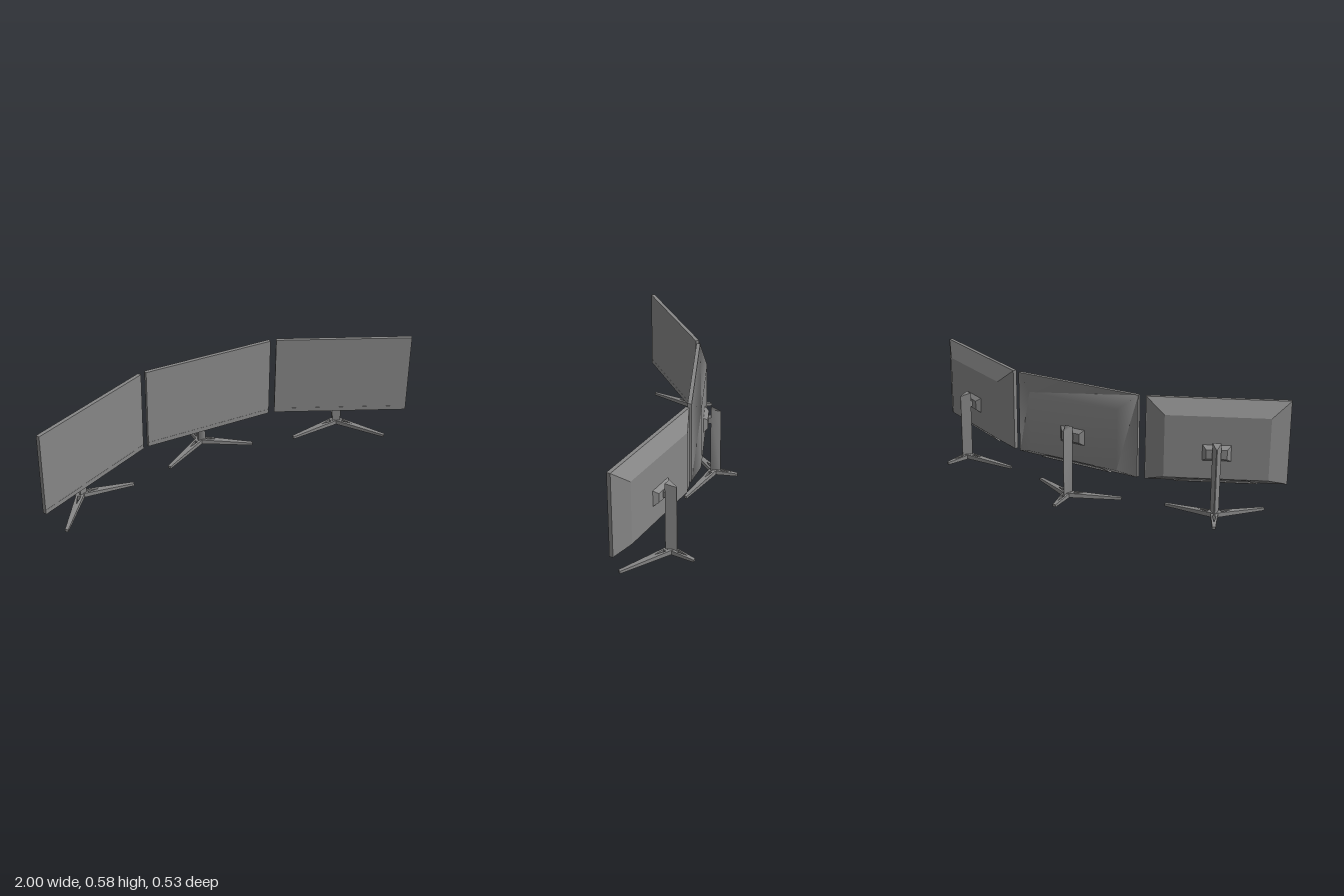
import * as THREE from 'three';
import { ConvexGeometry } from 'three/addons/geometries/ConvexGeometry.js';
import { mergeVertices } from 'three/addons/utils/BufferGeometryUtils.js';

const material = new THREE.MeshStandardMaterial({ color: 0x868686 });

function part(name, geometry, parent) {
  const mesh = new THREE.Mesh(geometry, material);
  mesh.name = name;
  parent.add(mesh);
  return mesh;
}

// Shares corners so that shading runs softly across the edges
function soften(geometry) {
  geometry.deleteAttribute('normal');
  geometry.deleteAttribute('uv');
  const g = mergeVertices(geometry);
  g.computeVertexNormals();
  return g;
}

// Block whose front and back rectangles differ: [halfWidth, yLow, yHigh, z]
function frustum(front, back) {
  const g = new THREE.BoxGeometry(2, 1, 1);
  const p = g.attributes.position;
  for (let i = 0; i < p.count; i++) {
    const [w, low, high, z] = p.getZ(i) > 0 ? front : back;
    p.setXYZ(i, p.getX(i) * w, p.getY(i) > 0 ? high : low, z);
  }
  g.computeVertexNormals();
  return g;
}

// Closed outline given as [x, y] pairs
const points2 = (pairs) => pairs.map(([x, y]) => new THREE.Vector2(x, y));

// Tapered leg along +z with a slot near the hub, sloping down to the tip
function legGeometry(length, slotEnd) {
  const shape = new THREE.Shape(points2(
    [[-0.02, -0.01], [0.02, -0.01], [0.008, length], [-0.008, length]]));
  shape.holes.push(new THREE.Path(points2([[-0.009, 0.034], [0, slotEnd], [0.009, 0.034]])));
  const g = new THREE.ExtrudeGeometry(shape, { depth: 1, bevelEnabled: false });
  g.rotateX(Math.PI / 2); // plan now lies flat, thickness runs from y = -1 to 0
  const p = g.attributes.position;
  for (let i = 0; i < p.count; i++) {
    const t = Math.max(0, p.getZ(i) / length);
    const top = THREE.MathUtils.lerp(0.038, 0.013, t);
    const bottom = THREE.MathUtils.lerp(0.014, 0, t);
    p.setY(i, p.getY(i) > -0.5 ? top : bottom);
  }
  g.computeVertexNormals();
  return g;
}

// Raised trapezoid rim around a recess, sheared to follow the lower slope
function ridgeGeometry() {
  const shape = new THREE.Shape(points2(
    [[-0.202, 0.155], [0.202, 0.155], [0.158, 0.185], [-0.158, 0.185]]));
  shape.holes.push(new THREE.Path(points2(
    [[-0.18, 0.16], [-0.153, 0.179], [0.153, 0.179], [0.18, 0.16]])));
  const g = new THREE.ExtrudeGeometry(shape, { depth: 0.014, bevelEnabled: false });
  const p = g.attributes.position;
  for (let i = 0; i < p.count; i++) {
    p.setZ(i, p.getZ(i) - 0.032 - (p.getY(i) - 0.155) * 0.95);
  }
  g.computeVertexNormals();
  return g;
}

// Three-sided column with its edge to the back and a top sloping backwards
function columnGeometry() {
  const points = [];
  for (const [x, z, top] of [[-0.021, -0.094, 0.381], [0.021, -0.094, 0.381],
    [-0.002, -0.144, 0.366], [0.002, -0.144, 0.366]]) {
    points.push(new THREE.Vector3(x, 0.022, z), new THREE.Vector3(x, top, z));
  }
  return new ConvexGeometry(points);
}

// Local frame: screen surface at z = 0, back towards -z
function createMonitor(name, soft) {
  const monitor = new THREE.Group();
  monitor.name = name;
  const low = 0.155, high = 0.577, half = 0.342;
  const finish = soft ? soften : (g) => g;

  part('screenPanel', frustum([half, low, high, 0], [half, low, high, -0.019]), monitor);
  part('chin', frustum([half, low, 0.178, 0.0008], [half, low, 0.178, -0.004]), monitor);
  part('backShell', finish(frustum([half - 0.001, low + 0.001, high - 0.001, -0.018],
    [0.25, 0.185, 0.5, -0.06])), monitor);
  part('lowerRidge', ridgeGeometry(), monitor);

  // Mount and neck
  part('mountBlock', frustum([0.07, 0.277, 0.36, -0.058], [0.05, 0.294, 0.341, -0.081]), monitor);
  part('neck', frustum([0.015, 0.304, 0.334, -0.078], [0.015, 0.304, 0.334, -0.1]), monitor);

  // Stand
  const stand = new THREE.Group();
  stand.name = 'stand';
  monitor.add(stand);
  part('column', finish(columnGeometry()), stand);
  const spread = Math.atan2(0.24, 0.13);
  const legs = [['leftFrontLeg', 0.272, 0.09, spread],
    ['rightFrontLeg', 0.272, 0.09, -spread],
    ['backLeg', 0.121, 0.085, Math.PI]];
  for (const [legName, length, slotEnd, angle] of legs) {
    const leg = part(legName, legGeometry(length, slotEnd), stand);
    leg.position.z = -0.112;
    leg.rotation.y = angle;
  }
  return monitor;
}

export function createModel() {
  const model = new THREE.Group();
  model.name = 'tripleMonitorSetup';

  const centre = createMonitor('centreMonitor', true);
  centre.position.z = -0.03;
  model.add(centre);

  // Side monitors turn in towards the viewer
  for (const [name, s] of [['leftMonitor', 1], ['rightMonitor', -1]]) {
    const side = createMonitor(name, false);
    side.position.set(s * 0.6815, 0, 0.1205);
    side.rotation.y = -s * THREE.MathUtils.degToRad(25);
    model.add(side);
  }
  return model;
}
